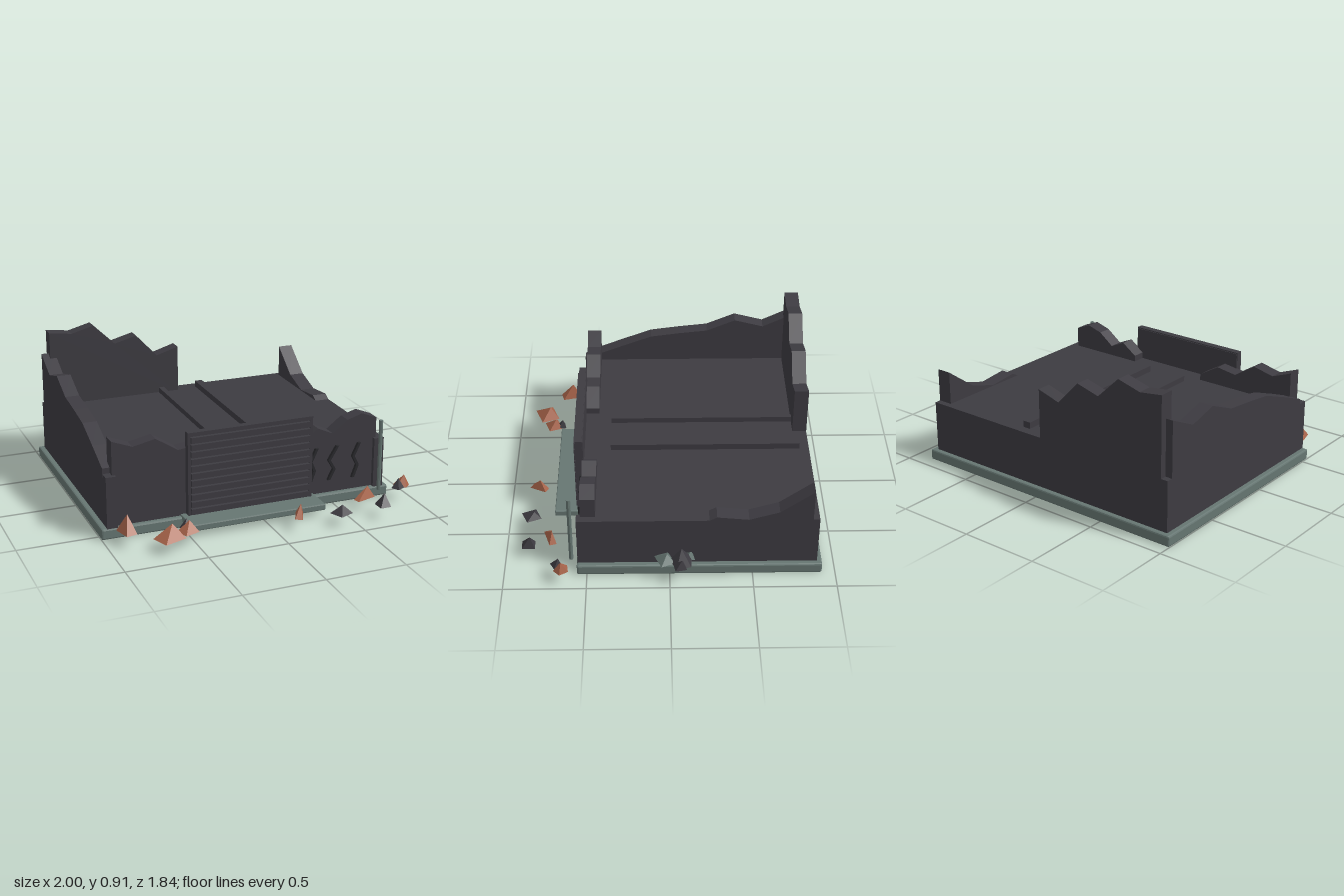
import * as THREE from 'three';
import { RoundedBoxGeometry } from 'three/addons/geometries/RoundedBoxGeometry.js';

const mat = (name, color) => {
  const m = new THREE.MeshStandardMaterial({ color, flatShading: true });
  m.name = name;
  return m;
};

export function createModel() {
  const model = new THREE.Group();
  model.name = 'ruinedGarage';
  const charcoal = mat('charcoal wall', 0x3d3b41);
  const soot = mat('soot', 0x29292c);
  const concrete = mat('grey green concrete', 0x667672);
  const brick = mat('broken brick', 0xa8644a);

  const add = (name, geometry, material, parent = model) => {
    const m = new THREE.Mesh(geometry, material);
    m.name = name;
    parent.add(m);
    return m;
  };
  // Box given by its limits on each axis, optionally with a bevelled edge
  const block = (name, [x0, x1], [y0, y1], [z0, z1], material, bevel = 0) => {
    const s = [x1 - x0, y1 - y0, z1 - z0];
    const g = bevel ? new RoundedBoxGeometry(...s, 1, bevel) : new THREE.BoxGeometry(...s);
    g.translate((x0 + x1) / 2, (y0 + y1) / 2, (z0 + z1) / 2);
    return add(name, g, material);
  };

  // Foundation, ramp and main block
  block('foundation', [-1, 0.88], [0, 0.068], [-0.92, 0.56], concrete, 0.01);
  block('ramp', [-0.5, 0.375], [0.037, 0.077], [0.5, 0.715], concrete, 0.006);
  block('mainBlock', [-0.965, 0.845], [0.06, 0.39], [-0.89, 0.53], charcoal);
  for (const x of [-0.965, 0.78]) {
    block('cornerPilaster', [x, x + 0.065], [0.06, 0.39], [0.52, 0.555], charcoal);
  }

  // Roof beams
  block('roofBeam', [-0.17, -0.135], [0.38, 0.425], [-0.83, 0.36], charcoal);
  block('roofBeam', [0.105, 0.155], [0.38, 0.43], [-0.83, 0.36], charcoal);

  // Jagged broken walls: a top profile standing on the roof
  const brokenWall = (name, profile, thickness, alongZ, offset) => {
    const s = new THREE.Shape();
    s.moveTo(profile[0][0], 0.37);
    profile.forEach(([u, y]) => s.lineTo(u, y));
    s.lineTo(profile[profile.length - 1][0], 0.37);
    const g = new THREE.ExtrudeGeometry(s, { depth: thickness, bevelEnabled: false });
    if (alongZ) g.rotateY(-Math.PI / 2).translate(offset + thickness, 0, 0);
    else g.translate(0, 0, offset);
    add(name, g, charcoal);
  };
  brokenWall('backWall', [[-0.92, 0.89], [-0.77, 0.87], [-0.62, 0.91], [-0.475, 0.77],
    [-0.325, 0.81], [-0.18, 0.655], [-0.03, 0.70]], 0.09, false, -0.891);
  brokenWall('rightWall', [[-0.85, 0.74], [-0.66, 0.65], [-0.47, 0.70], [-0.28, 0.62],
    [-0.09, 0.60], [0.1, 0.575], [0.3, 0.50], [0.49, 0.425]], 0.09, true, -0.966);
  brokenWall('leftWall', [[-0.85, 0.60], [-0.65, 0.45], [-0.47, 0.395], [-0.28, 0.415],
    [-0.235, 0.39]], 0.095, true, 0.751);
  brokenWall('frontParapetRight', [[-0.92, 0.60], [-0.79, 0.55], [-0.65, 0.58], [-0.51, 0.49],
    [-0.375, 0.51], [-0.24, 0.43]], 0.09, false, 0.441);
  brokenWall('frontParapetLeft', [[0.3, 0.43], [0.4, 0.50], [0.5, 0.455], [0.6, 0.53],
    [0.7, 0.56], [0.8, 0.52]], 0.09, false, 0.441);

  // Roller door: panel, frame and slats
  block('doorPanel', [-0.46, 0.34], [0.068, 0.595], [0.525, 0.56], charcoal);
  for (const x of [-0.465, 0.327]) {
    block('doorFrameSide', [x, x + 0.018], [0.068, 0.602], [0.53, 0.573], charcoal);
  }
  block('doorFrameTop', [-0.465, 0.345], [0.578, 0.602], [0.53, 0.573], charcoal);
  for (let i = 0; i < 11; i++) {
    const y = 0.082 + i * 0.0455;
    block('doorSlat', [-0.445, 0.325], [y, y + 0.035], [0.555, 0.582], charcoal);
  }

  // Zigzag cracks on the front wall
  const crack = (points) => {
    const w = 0.009;
    const s = new THREE.Shape();
    points.forEach(([x, y], i) => (i ? s.lineTo(x + w, y) : s.moveTo(x + w, y)));
    [...points].reverse().forEach(([x, y]) => s.lineTo(x - w, y));
    const g = new THREE.ExtrudeGeometry(s, { depth: 0.02, bevelEnabled: false });
    add('wallCrack', g.translate(0, 0, 0.53), soot);
  };
  crack([[0.39, 0.375], [0.35, 0.29], [0.375, 0.23], [0.35, 0.16]]);
  crack([[0.53, 0.375], [0.475, 0.285], [0.51, 0.225], [0.475, 0.155]]);
  crack([[0.68, 0.375], [0.64, 0.29], [0.67, 0.23], [0.64, 0.15]]);

  // Downpipe at the front left corner
  add('pipe', new THREE.CylinderGeometry(0.013, 0.013, 0.46, 8).translate(0.8, 0.292, 0.595), concrete);

  // Rubble: squashed pyramids with a shifted peak
  const rubble = (name, x, z, w, d, y0, y1, turn, material, sides = 4, lean = 0.15) => {
    const g = new THREE.ConeGeometry(0.5, 1, sides);
    g.rotateY(Math.PI / sides);
    const p = g.attributes.position;
    for (let i = 0; i < p.count; i++) {
      if (p.getY(i) > 0) p.setXYZ(i, lean, 0.5, -lean * 0.6);
    }
    const k = sides === 4 ? Math.SQRT2 : 1.05;
    g.scale(w * k, y1 - y0, d * k).rotateY(turn).translate(x, (y0 + y1) / 2, z);
    g.computeVertexNormals();
    add(name, g, material);
  };
  rubble('brickRubble', -0.88, 0.665, 0.07, 0.12, 0.08, 0.185, 0.25, brick);
  rubble('brickRubble', -0.67, 0.82, 0.15, 0.12, 0.07, 0.15, 0.35, brick);
  rubble('brickRubble', -0.54, 0.77, 0.10, 0.09, 0.07, 0.135, 0.35, brick);
  rubble('brickRubble', 0.145, 0.825, 0.045, 0.11, 0.08, 0.155, -0.45, brick);
  rubble('brickRubble', 0.63, 0.73, 0.135, 0.045, 0.08, 0.155, 0.3, brick);
  rubble('brickRubble', 0.93, 0.65, 0.10, 0.09, 0.09, 0.16, -0.45, brick, 5);
  rubble('sootRubble', -0.535, 0.715, 0.055, 0.05, 0.07, 0.13, 0.2, charcoal);
  rubble('sootRubble', 0.41, 0.86, 0.10, 0.095, 0.07, 0.115, 0.4, charcoal);
  rubble('sootRubble', 0.69, 0.86, 0.07, 0.08, 0.075, 0.15, 0.02, charcoal);
  rubble('sootRubble', 0.89, 0.68, 0.06, 0.055, 0.09, 0.15, 0.5, charcoal);

  // Rubble jutting from the left side wall
  rubble('sideRubble', 0.91, -0.07, 0.15, 0.14, 0.13, 0.23, 0.5, charcoal, 5, 0);
  rubble('sideRubbleTip', 0.96, -0.06, 0.07, 0.07, 0.13, 0.19, 0.2, charcoal);
  rubble('sideConcrete', 0.895, 0.03, 0.11, 0.09, 0.13, 0.185, 0.4, concrete, 4, 0.1);
  rubble('sideConcrete', 0.87, -0.115, 0.07, 0.06, 0.13, 0.175, 0.2, concrete, 4, 0.1);

  return model;
}
